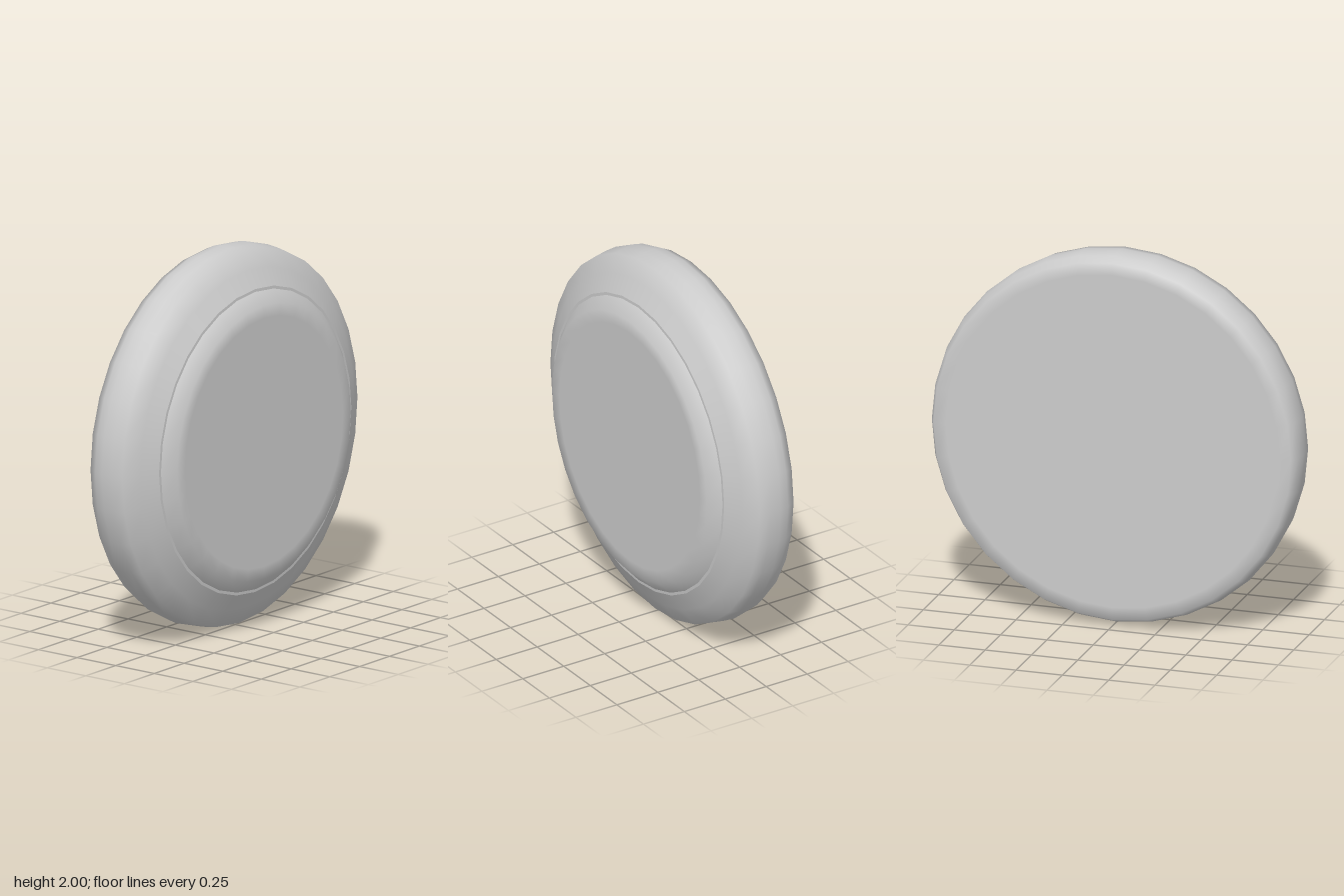
import * as THREE from 'three';

const SEGMENTS = 32;

// Revolves [radius, x] pairs around the x axis.
function turned(name, profile, material) {
  const points = profile.map(([r, x]) => new THREE.Vector2(r, x));
  const geometry = new THREE.LatheGeometry(points, SEGMENTS);
  geometry.rotateZ(-Math.PI / 2);
  const mesh = new THREE.Mesh(geometry, material);
  mesh.name = name;
  return mesh;
}

export function createModel() {
  const group = new THREE.Group();
  group.name = 'roundDisc';
  const material = new THREE.MeshStandardMaterial({ color: 0xcccccc, side: THREE.DoubleSide });

  // Rounded outer body: flat back, bulging rim, sloping front shoulder
  group.add(turned('outerBody', [
    [0, -0.19], [0.9, -0.19], [0.965, -0.19], [0.99, -0.14], [1, -0.09],
    [0.995, -0.03], [0.985, 0.03], [0.895, 0.08], [0.805, 0.13],
  ], material));

  // Narrow seam between the body and the face plate
  group.add(turned('seam', [[0.805, 0.13], [0.79, 0.131]], material));

  // Raised face plate with a bevelled edge and flat front
  group.add(turned('facePlate', [
    [0.79, 0.131], [0.727, 0.187], [0.66, 0.187], [0, 0.187],
  ], material));

  group.position.y = 1;
  return group;
}
